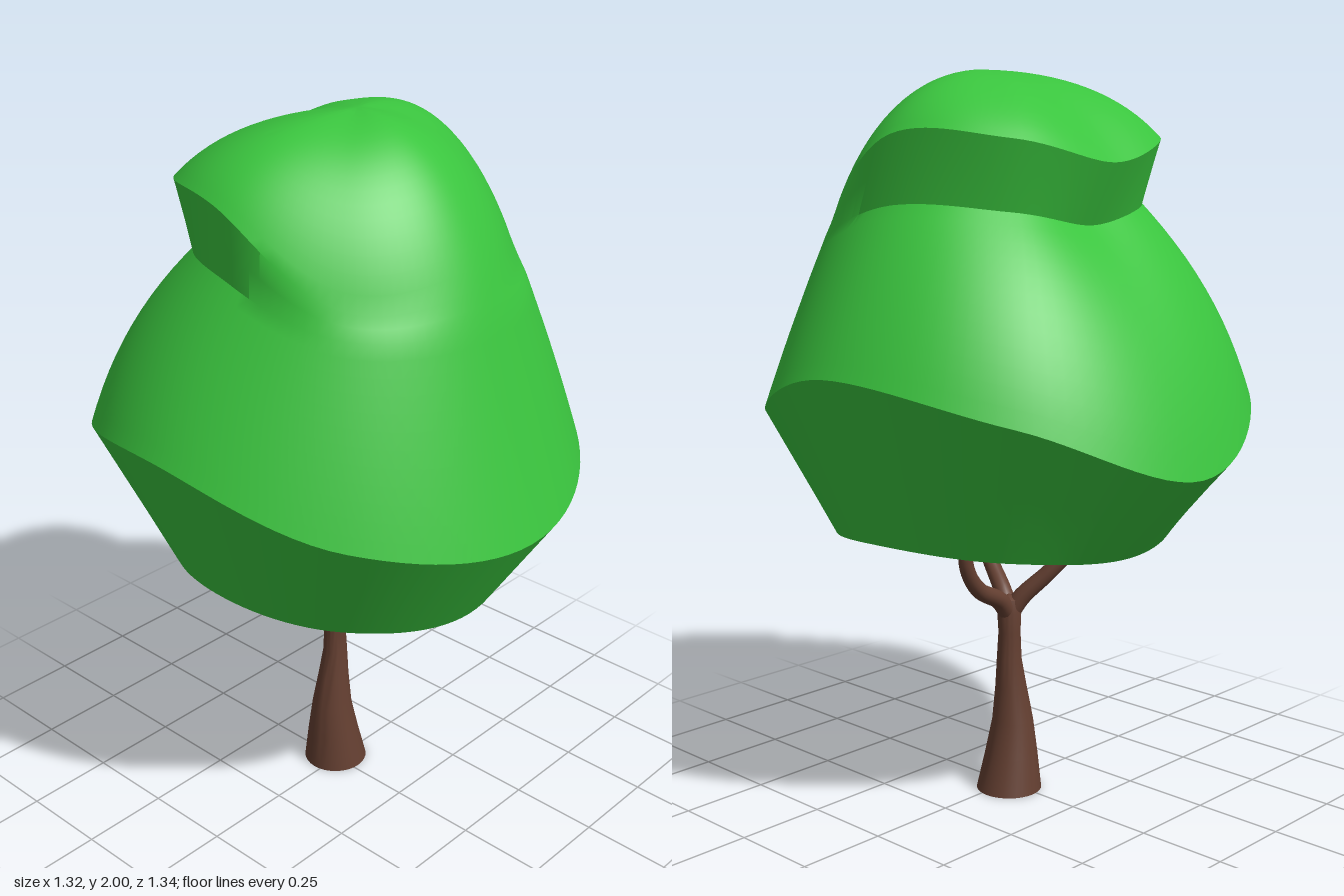
import * as THREE from 'three';
import { toCreasedNormals } from 'three/addons/utils/BufferGeometryUtils.js';

const SEG = 96;
const leafMat = new THREE.MeshStandardMaterial({ color: 0x3ac43e });
const barkMat = new THREE.MeshStandardMaterial({ color: 0x643f31 });

// Skin between closed rings listed bottom to top; each ring maps an angle to [x, y, z]
function loft(rings, seg, crease) {
  const pos = [];
  const grid = rings.map((ring) =>
    Array.from({ length: seg }, (_, j) => new THREE.Vector3(...ring((j / seg) * Math.PI * 2))));
  const tri = (a, b, c) => {
    if (a.distanceTo(b) < 1e-6 || b.distanceTo(c) < 1e-6 || c.distanceTo(a) < 1e-6) return;
    for (const v of [a, b, c]) pos.push(v.x, v.y, v.z);
  };
  for (let i = 0; i + 1 < grid.length; i++) {
    for (let j = 0; j < seg; j++) {
      const k = (j + 1) % seg;
      tri(grid[i][j], grid[i][k], grid[i + 1][k]);
      tri(grid[i][j], grid[i + 1][k], grid[i + 1][j]);
    }
  }
  const geo = new THREE.BufferGeometry();
  geo.setAttribute('position', new THREE.Float32BufferAttribute(pos, 3));
  return toCreasedNormals(geo, crease);
}

// Ring from [radius, height] at front, 45, 90, 135 degrees and back, mirrored left to right
function keyed(keys) {
  const at = (i) => keys[i < 0 ? -i : i > 4 ? 8 - i : i];
  return (a) => {
    const u = (a > Math.PI ? 2 * Math.PI - a : a) / (Math.PI / 4);
    const i = Math.min(3, Math.floor(u));
    const t = u - i;
    const [r, y] = [0, 1].map((n) => {
      const [p, q, s, w] = [at(i - 1)[n], at(i)[n], at(i + 1)[n], at(i + 2)[n]];
      return q + 0.5 * t * (s - p + t * (2 * p - 5 * q + 4 * s - w + t * (3 * (q - s) + w - p)));
    });
    return [r * Math.sin(a), y, r * Math.cos(a)];
  };
}

const mix = (A, B, t) => (a) => A(a).map((v, n) => v + (B(a)[n] - v) * t);

// Rings along a quadratic curve from A to C, pulled toward B
const bend = (A, B, C, n) =>
  Array.from({ length: n }, (_, i) => {
    const t = (i + 1) / n;
    return mix(mix(A, B, t), mix(B, C, t), t);
  });

function createFoliage() {
  const hem = keyed([[0.48, 0.715], [0.475, 0.75], [0.465, 0.785], [0.455, 0.77], [0.44, 0.745]]);
  const rim = keyed([[0.67, 1.0], [0.66, 1.084], [0.66, 1.24], [0.66, 1.148], [0.67, 0.985]]);
  const belly = keyed([[0.575, 1.3], [0.58, 1.34], [0.555, 1.47], [0.57, 1.44], [0.55, 1.4]]);
  const neck = keyed([[0.5, 1.55], [0.49, 1.56], [0.42, 1.655], [0.36, 1.64], [0.3, 1.6]]);
  const brim = keyed([[0.47, 1.63], [0.46, 1.62], [0.425, 1.83], [0.41, 1.82], [0.375, 1.76]]);
  const dome = keyed([[0.32, 2.0], [0.33, 1.98], [0.3, 2.0], [0.26, 1.98], [0.2, 1.97]]);
  const apex = () => [0, 2.0, 0.07];

  // Saddle-shaped underside
  const under = [0, 0.25, 0.5, 0.75].map((s) => (a) => {
    const [x, y, z] = hem(a);
    return [x * s, 0.79 + (y - 0.79) * s * s, z * s];
  });
  const rings = [
    ...under, hem,
    mix(hem, rim, 0.5), rim,
    ...bend(rim, belly, neck, 12),
    mix(neck, brim, 0.5), brim,
    ...bend(brim, dome, apex, 16),
  ];
  const mesh = new THREE.Mesh(loft(rings, SEG, 0.5), leafMat);
  mesh.name = 'foliage';
  return mesh;
}

function createTrunk() {
  // height, centre x, centre z, radius
  const rows = [
    [0, 0.015, -0.02, 0], [0, 0.015, -0.02, 0.092], [0.1, 0.006, -0.02, 0.075],
    [0.2, 0, -0.02, 0.058], [0.3, 0.005, -0.018, 0.044], [0.38, 0.012, -0.018, 0.035],
    [0.46, 0.013, -0.02, 0.031], [0.52, 0.014, -0.02, 0.034], [0.555, 0.015, -0.02, 0.028],
    [0.57, 0.015, -0.02, 0],
  ];
  const rings = rows.map(([y, x, z, r]) => (a) => [x + r * Math.sin(a), y, z + r * Math.cos(a)]);
  const mesh = new THREE.Mesh(loft(rings, 32, 0.9), barkMat);
  mesh.name = 'trunk';
  return mesh;
}

// Tapering tube along a smooth path
function createBranch(name, points) {
  const seg = 24, sides = 16;
  const curve = new THREE.CatmullRomCurve3(points.map((p) => new THREE.Vector3(...p)));
  const geo = new THREE.TubeGeometry(curve, seg, 1, sides);
  const pos = geo.attributes.position;
  const v = new THREE.Vector3();
  for (let i = 0; i < pos.count; i++) {
    const t = Math.floor(i / (sides + 1)) / seg;
    const c = curve.getPointAt(t);
    v.fromBufferAttribute(pos, i).sub(c).multiplyScalar(0.027 - 0.01 * t).add(c);
    pos.setXYZ(i, v.x, v.y, v.z);
  }
  const mesh = new THREE.Mesh(geo, barkMat);
  mesh.name = name;
  return mesh;
}

export function createModel() {
  const tree = new THREE.Group();
  tree.name = 'tree';
  tree.add(
    createFoliage(),
    createTrunk(),
    createBranch('leftBranch', [[0.015, 0.51, -0.02], [0.06, 0.56, -0.025], [0.15, 0.61, -0.035], [0.2, 0.68, -0.04], [0.215, 0.81, -0.045]]),
    createBranch('frontBranch', [[0.014, 0.51, -0.02], [-0.005, 0.56, 0.02], [-0.045, 0.63, 0.11], [-0.065, 0.71, 0.18], [-0.08, 0.79, 0.25]]),
    createBranch('backBranch', [[0.014, 0.51, -0.02], [-0.01, 0.56, -0.045], [-0.06, 0.63, -0.1], [-0.11, 0.71, -0.155], [-0.13, 0.8, -0.21]]),
  );
  return tree;
}
